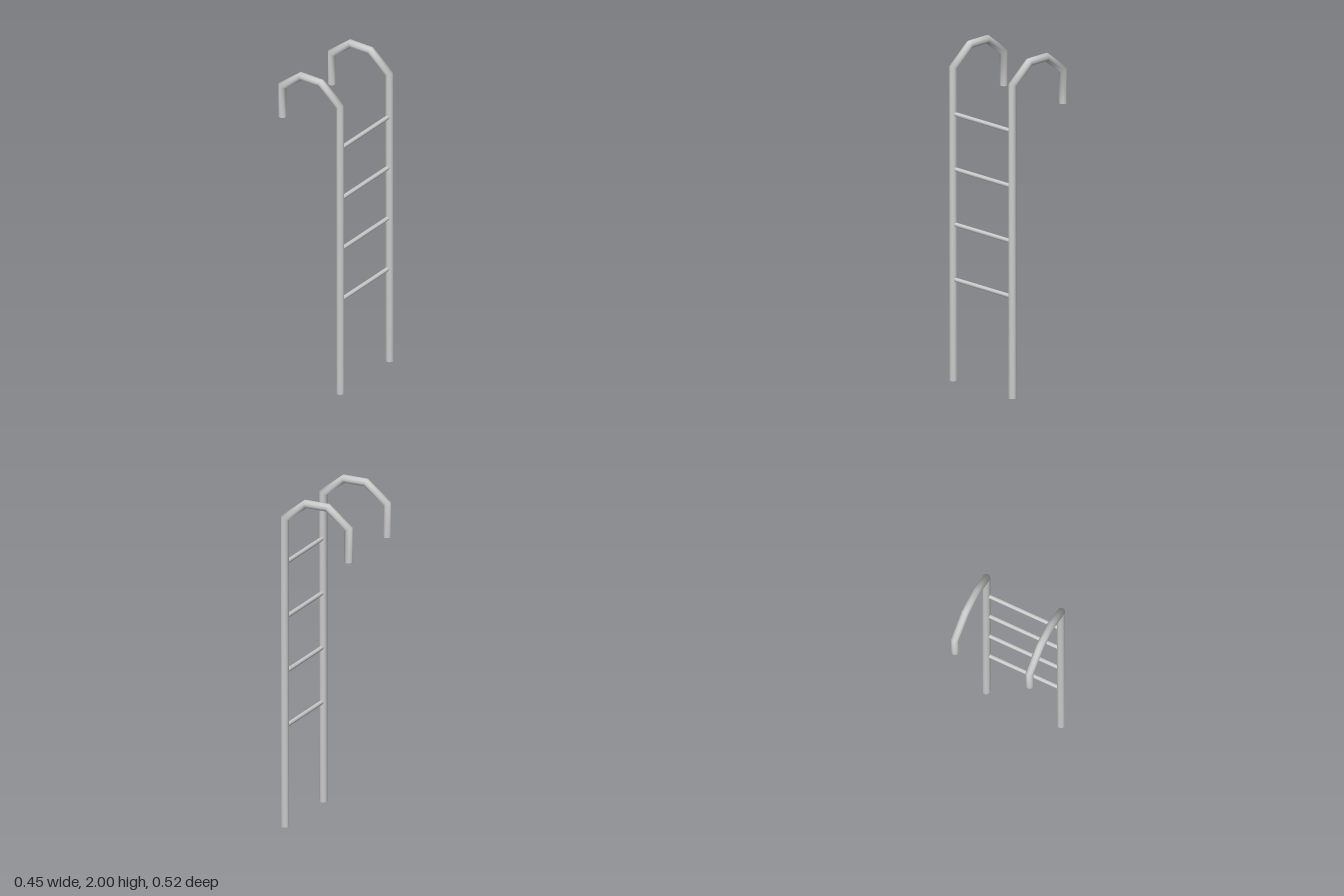
import * as THREE from 'three';

const RAIL_RADIUS = 0.0235, RAIL_Z = 0.236, RAIL_X = 0.205;

// Tube along a polyline in the xy plane, with mitred bends and open ends
function mitredTube(points, radius, sides) {
  const positions = [], indices = [];
  const direction = (a, b) => b.clone().sub(a).normalize();
  points.forEach((p, i) => {
    const before = direction(points[Math.max(i - 1, 0)], points[Math.max(i, 1)]);
    const last = points.length - 1;
    const after = direction(points[Math.min(i, last - 1)], points[Math.min(i + 1, last)]);
    const tangent = before.clone().add(after).normalize();
    const stretch = radius / tangent.dot(before);
    for (let s = 0; s < sides; s++) {
      const a = ((s + 0.5) / sides) * Math.PI * 2;
      const across = Math.cos(a) * stretch;
      positions.push(p.x - tangent.y * across, p.y + tangent.x * across, Math.sin(a) * radius);
      if (i < last) {
        const n = (s + 1) % sides, r = i * sides;
        indices.push(r + s, r + n, r + sides + s, r + n, r + sides + n, r + sides + s);
      }
    }
  });
  const geometry = new THREE.BufferGeometry();
  geometry.setAttribute('position', new THREE.Float32BufferAttribute(positions, 3));
  // The ring runs clockwise about the path, so flip the faces to point outward
  for (let i = 0; i < indices.length; i += 3) {
    const a = new THREE.Vector3().fromArray(positions, indices[i] * 3);
    const b = new THREE.Vector3().fromArray(positions, indices[i + 1] * 3);
    const c = new THREE.Vector3().fromArray(positions, indices[i + 2] * 3);
    const ring = Math.floor(indices[i] / sides);
    const start = points[Math.min(ring, points.length - 2)];
    const normal = b.sub(a).cross(c.sub(a));
    const outward = a.sub(new THREE.Vector3(start.x, start.y, 0));
    const along = points[Math.min(ring, points.length - 2) + 1].clone().sub(start).normalize();
    const axis = new THREE.Vector3(along.x, along.y, 0);
    outward.addScaledVector(axis, -outward.dot(axis));
    if (normal.dot(outward) < 0) [indices[i + 1], indices[i + 2]] = [indices[i + 2], indices[i + 1]];
  }
  geometry.setIndex(indices);
  geometry.computeVertexNormals();
  return geometry;
}

export function createModel() {
  const ladder = new THREE.Group();
  ladder.name = 'hookLadder';
  const metal = new THREE.MeshStandardMaterial({ color: 0xcccccc, side: THREE.DoubleSide });

  // Two upright rails, each bent over into a hook at the top
  const path = [
    [RAIL_X, 0], [RAIL_X, 1.87], [0.07, 1.9765],
    [-0.07, 1.9765], [-RAIL_X, 1.87], [-RAIL_X, 1.67],
  ].map(([x, y]) => new THREE.Vector2(x, y));
  const railGeometry = mitredTube(path, RAIL_RADIUS, 10);
  for (const [name, side] of [['frontRail', 1], ['backRail', -1]]) {
    const rail = new THREE.Mesh(railGeometry, metal);
    rail.name = name;
    rail.position.z = side * RAIL_Z;
    ladder.add(rail);
  }

  // Four evenly spaced rungs between the rails
  const rungGeometry = new THREE.CylinderGeometry(0.0125, 0.0125, RAIL_Z * 2 - 0.02, 10);
  rungGeometry.rotateX(Math.PI / 2);
  for (let i = 0; i < 4; i++) {
    const rung = new THREE.Mesh(rungGeometry, metal);
    rung.name = `rung${i + 1}`;
    rung.position.set(RAIL_X, 0.605 + i * 0.33, 0);
    ladder.add(rung);
  }
  return ladder;
}
